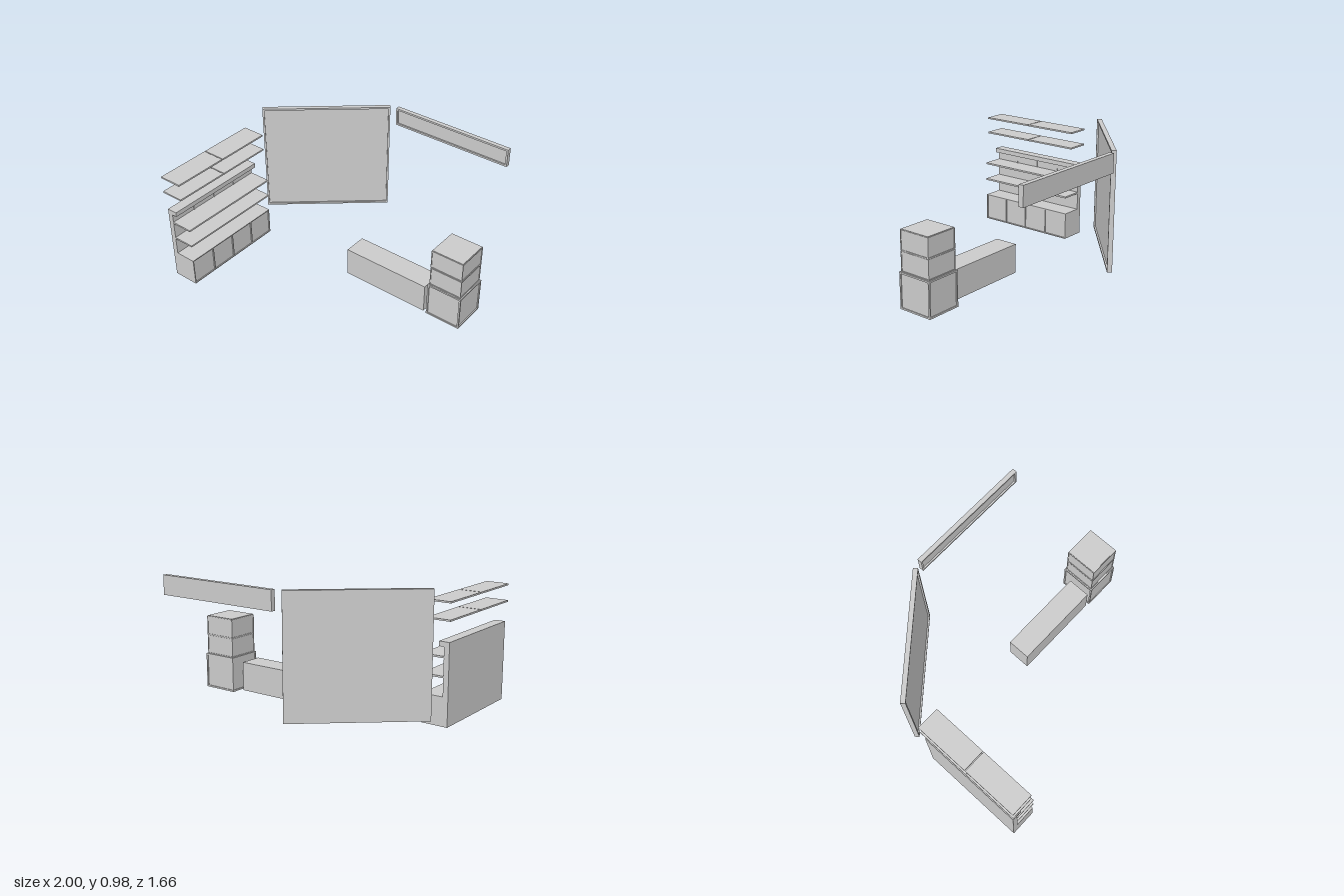
import * as THREE from 'three';

const grey = new THREE.MeshStandardMaterial({ color: 0xcccccc, flatShading: true });
const greyThin = new THREE.MeshStandardMaterial({ color: 0xcccccc, flatShading: true, side: THREE.DoubleSide });

// Box given by its lower and upper limits on each axis
function box(name, [x0, x1], [y0, y1], [z0, z1]) {
  const mesh = new THREE.Mesh(new THREE.BoxGeometry(x1 - x0, y1 - y0, z1 - z0), grey);
  mesh.position.set((x0 + x1) / 2, (y0 + y1) / 2, (z0 + z1) / 2);
  mesh.name = name;
  return mesh;
}

function rect(path, x0, y0, x1, y1) {
  path.moveTo(x0, y0);
  path.lineTo(x1, y0);
  path.lineTo(x1, y1);
  path.lineTo(x0, y1);
  path.closePath();
  return path;
}

// Flat frame centred on the origin, rising from z = 0 to depth, split into equal bays
function frame(name, w, h, rim, depth, bays = 1) {
  const shape = rect(new THREE.Shape(), -w / 2, -h / 2, w / 2, h / 2);
  const bayWidth = (w - rim * (bays + 1)) / bays;
  for (let i = 0; i < bays; i++) {
    const x = -w / 2 + rim + i * (bayWidth + rim);
    shape.holes.push(rect(new THREE.Path(), x, -h / 2 + rim, x + bayWidth, h / 2 - rim));
  }
  const mesh = new THREE.Mesh(new THREE.ExtrudeGeometry(shape, { depth, bevelEnabled: false }), grey);
  mesh.name = name;
  return mesh;
}

// Board with a raised rim on its +z side
function framedBoard(name, w, h, t, rim) {
  const group = new THREE.Group();
  group.name = name;
  const recess = t * 0.35;
  const border = frame(name + 'Rim', w, h, rim, recess);
  border.position.z = t / 2 - recess;
  group.add(box(name + 'Panel', [-w / 2, w / 2], [-h / 2, h / 2], [-t / 2, t / 2 - recess]), border);
  return group;
}

// Block whose four sides carry shallow framed panels
function panelledBlock(name, w, h, d, rim, depth) {
  const group = new THREE.Group();
  group.name = name;
  group.add(box(name + 'Core', [-w / 2 + depth, w / 2 - depth], [0, h], [-d / 2 + depth, d / 2 - depth]));
  for (let i = 0; i < 4; i++) {
    const side = i % 2 === 0;
    const border = frame(name + 'Frame', side ? w : d, h, rim, depth);
    const a = (i * Math.PI) / 2;
    const r = (side ? d : w) / 2 - depth;
    border.position.set(Math.sin(a) * r, h / 2, Math.cos(a) * r);
    border.rotation.y = a;
    group.add(border);
  }
  return group;
}

function shelfUnit() {
  const unit = new THREE.Group();
  unit.name = 'shelfUnit';
  const length = [0, 0.82];

  // Low cupboard with four recessed doors
  unit.add(box('cupboardBody', [-0.99, -0.798], [0, 0.21], length));
  const doors = frame('doorFrame', 0.82, 0.21, 0.008, 0.008, 4);
  doors.rotation.y = Math.PI / 2;
  doors.position.set(-0.798, 0.105, 0.41);
  unit.add(doors);

  // Back wall with overhanging ledge
  unit.add(box('backWall', [-0.99, -0.95], [0.21, 0.555], length));
  unit.add(box('ledge', [-0.99, -0.91], [0.555, 0.59], length));
  for (const z of [0.205, 0.41, 0.615]) {
    unit.add(box('wallBatten', [-0.95, -0.945], [0.49, 0.555], [z - 0.003, z + 0.003]));
  }

  // Long shelves on the back wall
  for (const y of [0.34, 0.477]) unit.add(box('longShelf', [-0.95, -0.785], [y, y + 0.013], length));

  // Two rows of paired floating shelves
  for (const y of [0.733, 0.855]) {
    unit.add(box('floatingShelf', [-1, -0.825], [y, y + 0.012], [-0.015, 0.405]));
    unit.add(box('floatingShelf', [-1, -0.825], [y, y + 0.012], [0.412, 0.832]));
  }
  return unit;
}

function cabinet() {
  const group = new THREE.Group();
  group.name = 'cabinet';
  group.add(panelledBlock('lowerCabinet', 0.27, 0.265, 0.27, 0.012, 0.007));
  // Two stacked upper compartments separated by a fine groove
  for (const y of [0.265, 0.413]) {
    const part = panelledBlock('upperCabinet', 0.252, 0.144, 0.25, 0.006, 0.004);
    part.position.y = y;
    group.add(part);
  }
  group.add(box('groove', [-0.123, 0.123], [0.405, 0.416], [-0.122, 0.122]));
  group.add(box('cabinetTop', [-0.122, 0.122], [0.556, 0.562], [-0.121, 0.121]));
  group.position.set(0.862, 0, -0.095);
  return group;
}

// Counter made of four thin walls and a top, open underneath
function counter() {
  const geometry = new THREE.BoxGeometry(0.685, 0.22, 0.175);
  const index = Array.from(geometry.index.array);
  index.splice(18, 6);
  geometry.setIndex(index);
  geometry.clearGroups();
  const mesh = new THREE.Mesh(geometry, greyThin);
  mesh.name = 'counter';
  mesh.position.set(0.358, 0.11, -0.057);
  return mesh;
}

export function createModel() {
  const model = new THREE.Group();
  model.name = 'roomFurniture';
  model.add(shelfUnit(), cabinet(), counter());

  // Large angled wall board
  const board = framedBoard('wallBoard', 0.967, 0.88, 0.035, 0.014);
  board.position.set(-0.593, 0.535, -0.486);
  board.rotation.y = Math.atan2(0.62, 0.742);
  model.add(board);

  // Long high sign board
  const sign = framedBoard('highBoard', 0.967, 0.14, 0.035, 0.014);
  sign.position.set(0.317, 0.905, -0.814);
  model.add(sign);
  return model;
}
